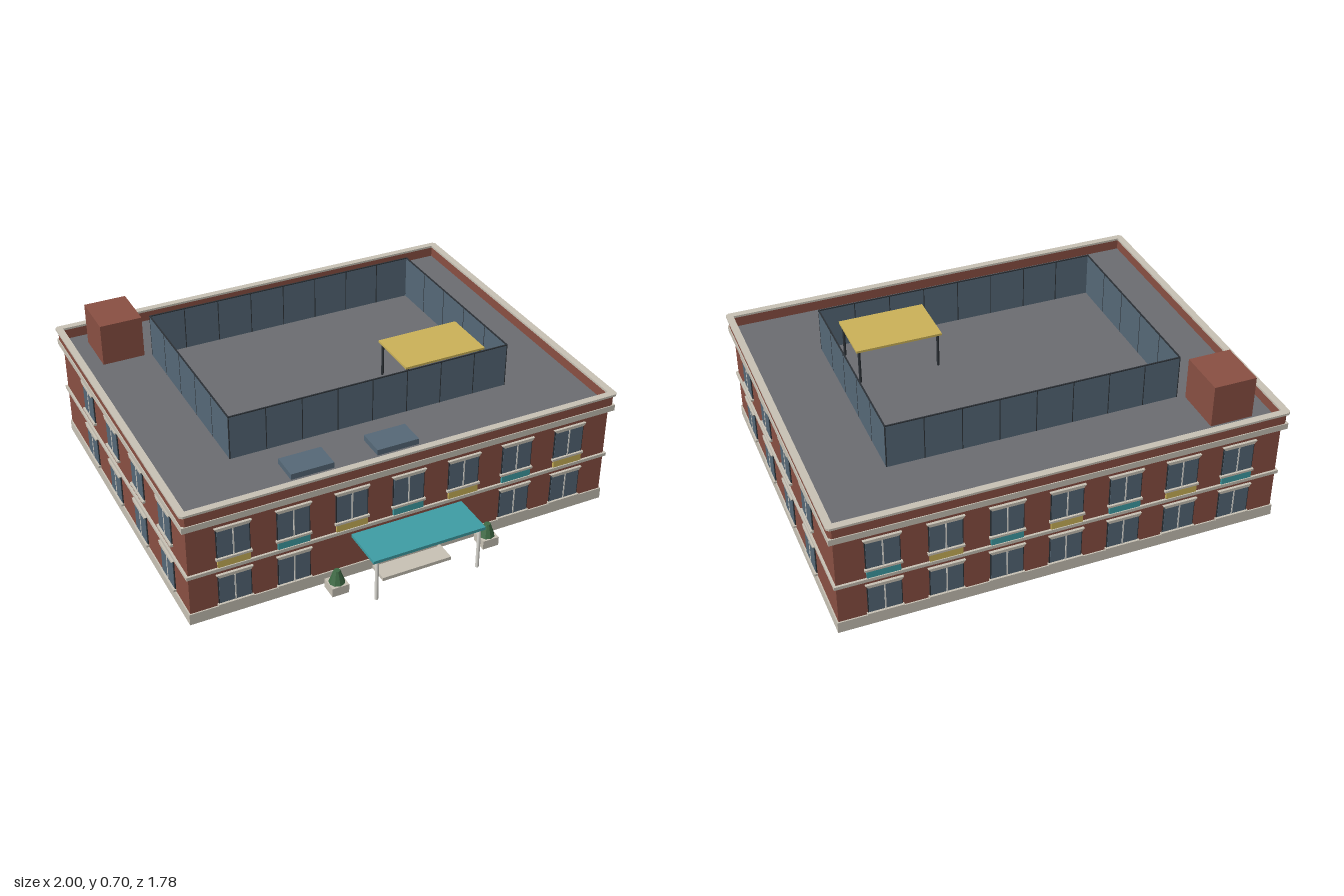
import * as THREE from 'three';

const mat = (color, extra = {}) => new THREE.MeshStandardMaterial({ color, ...extra });
const M = {
  brick: mat(0x8a5043), stone: mat(0xc9c3b6), glass: mat(0x566978), teal: mat(0x3f9ea5),
  yellow: mat(0xccb359), roof: mat(0x6c6d72), dark: mat(0x2c3136), white: mat(0xdedcd5),
  green: mat(0x3f6b45, { flatShading: true }),
};

// Main block: half width, wall planes and storey heights
const HW = 0.975, FRONT = 0.69, BACK = -0.87, ZC = (FRONT + BACK) / 2, DEPTH = FRONT - BACK;
const ROOF = 0.5;

// Box given by its minimum and maximum corners
function box(parent, name, material, x0, x1, y0, y1, z0, z1) {
  const m = new THREE.Mesh(new THREE.BoxGeometry(x1 - x0, y1 - y0, z1 - z0), material);
  m.position.set((x0 + x1) / 2, (y0 + y1) / 2, (z0 + z1) / 2);
  m.name = name;
  parent.add(m);
  return m;
}

// Solid layer around the building, standing out from the wall by e
const layer = (g, name, material, e, y0, y1) =>
  box(g, name, material, -HW - e, HW + e, y0, y1, BACK - e, FRONT + e);

// Rectangular ring with slightly cut corners, for parapet and coping
function ring(g, name, material, e, thick, y0, y1) {
  const w = HW + e, d = DEPTH / 2 + e, c = 0.012;
  const s = new THREE.Shape([
    [-w + c, -d], [w - c, -d], [w, -d + c], [w, d - c],
    [w - c, d], [-w + c, d], [-w, d - c], [-w, -d + c],
  ].map(p => new THREE.Vector2(...p)));
  const a = w - thick, b = d - thick;
  s.holes.push(new THREE.Path([[-a, -b], [-a, b], [a, b], [a, -b]].map(p => new THREE.Vector2(...p))));
  const m = new THREE.Mesh(new THREE.ExtrudeGeometry(s, { depth: y1 - y0, bevelEnabled: false }), material);
  m.rotation.x = -Math.PI / 2;
  m.position.set(0, y0, ZC);
  m.name = name;
  g.add(m);
}

// Window on a wall facing +z, with its sill at y = 0
function makeWindow(panel) {
  const g = new THREE.Group(), w = 0.073, h = 0.145;
  g.name = 'window';
  box(g, 'windowFrame', M.dark, -w, w, 0, h, -0.01, 0.004);
  for (const s of [-1, 1]) {
    box(g, 'windowPane', M.glass, s * 0.036 - 0.033, s * 0.036 + 0.033, 0.004, h - 0.004, 0, 0.006);
  }
  box(g, 'mullion', M.white, -0.003, 0.003, 0, h, 0, 0.008);
  box(g, 'sill', M.stone, -0.078, 0.078, -0.008, 0.002, -0.005, 0.014);
  // Lintel, wider at the top
  const s = new THREE.Shape([[-0.068, 0], [0.068, 0], [0.08, 0.014], [-0.08, 0.014]].map(p => new THREE.Vector2(...p)));
  const lintel = new THREE.Mesh(new THREE.ExtrudeGeometry(s, { depth: 0.015, bevelEnabled: false }), M.stone);
  lintel.position.set(0, h - 0.01, -0.003);
  lintel.name = 'lintel';
  g.add(lintel);
  if (panel) box(g, 'colourPanel', panel, -0.07, 0.07, -0.043, -0.002, -0.005, 0.01);
  return g;
}

function addWindow(g, x, y, z, angle, panel) {
  const w = makeWindow(panel);
  w.position.set(x, y, z);
  w.rotation.y = angle;
  g.add(w);
}

function post(g, name, material, x, z, y0, y1, r) {
  const m = new THREE.Mesh(new THREE.CylinderGeometry(r, r, y1 - y0, 10), material);
  m.position.set(x, (y0 + y1) / 2, z);
  m.name = name;
  g.add(m);
}

export function createModel() {
  const model = new THREE.Group();
  model.name = 'schoolBuilding';

  // Walls and stone courses
  layer(model, 'plinth', M.stone, 0.006, 0, 0.052);
  layer(model, 'brickWalls', M.brick, 0, 0.052, 0.475);
  layer(model, 'floorBand', M.stone, 0.01, 0.23, 0.245);
  layer(model, 'cornice', M.stone, 0.02, 0.47, ROOF - 0.002);
  box(model, 'roofDeck', M.roof, -0.97, 0.97, 0.49, ROOF, BACK + 0.005, FRONT - 0.005);
  ring(model, 'parapet', M.brick, 0.016, 0.022, ROOF - 0.002, 0.546);
  ring(model, 'coping', M.stone, 0.025, 0.031, 0.546, 0.556);

  // Windows on the front, back and both sides
  const LOW = 0.062, HIGH = 0.292;
  for (let i = -3; i <= 3; i++) {
    const x = i * 0.26, odd = Math.abs(i) % 2 === 1;
    addWindow(model, x, HIGH, FRONT, 0, odd ? M.yellow : M.teal);
    addWindow(model, x, HIGH, BACK, Math.PI, odd ? M.teal : M.yellow);
    addWindow(model, x, LOW, BACK, Math.PI);
    if (Math.abs(i) > 1) addWindow(model, x, LOW, FRONT, 0);
  }
  for (let i = 0; i < 4; i++) {
    for (const s of [-1, 1]) {
      for (const y of [LOW, HIGH]) addWindow(model, s * HW, y, 0.46 - i * 0.322, s * Math.PI / 2);
    }
  }

  // Entrance
  const entrance = new THREE.Group();
  entrance.name = 'entrance';
  box(entrance, 'portal', M.stone, -0.145, 0.145, 0, 0.2, FRONT - 0.01, 0.703);
  box(entrance, 'door', M.teal, -0.098, 0.098, 0.035, 0.194, FRONT, 0.708);
  box(entrance, 'step', M.stone, -0.162, 0.162, 0, 0.016, FRONT, 0.79);
  box(entrance, 'canopy', M.teal, -0.26, 0.26, 0.196, 0.21, FRONT, 0.89);
  for (const s of [-1, 1]) {
    post(entrance, 'canopyPost', M.white, s * 0.238, 0.877, 0, 0.197, 0.008);
    // Planter and shrub
    const x = s * 0.357;
    box(entrance, 'planter', M.stone, x - 0.038, x + 0.038, 0, 0.042, 0.715, 0.791);
    const shrub = new THREE.Mesh(new THREE.CylinderGeometry(0.014, 0.035, 0.06, 9), M.green);
    shrub.position.set(x, 0.072, 0.753);
    shrub.name = 'shrub';
    entrance.add(shrub);
  }
  model.add(entrance);

  // Rooftop court fence
  const fence = new THREE.Group();
  fence.name = 'rooftopFence';
  const fx = 0.65, f0 = -0.55, f1 = 0.362, top = 0.7, t = 0.002;
  for (const z of [f0, f1]) {
    box(fence, 'fencePanel', M.glass, -fx, fx, ROOF, top, z - t, z + t);
    box(fence, 'fenceRail', M.dark, -fx, fx, top, top + 0.004, z - 0.003, z + 0.003);
    for (let i = 0; i <= 8; i++) post(fence, 'fencePost', M.dark, -fx + i * fx / 4, z, ROOF, top + 0.004, 0.003);
  }
  for (const x of [-fx, fx]) {
    box(fence, 'fencePanel', M.glass, x - t, x + t, ROOF, top, f0, f1);
    box(fence, 'fenceRail', M.dark, x - 0.003, x + 0.003, top, top + 0.004, f0, f1);
    for (let i = 1; i < 5; i++) post(fence, 'fencePost', M.dark, x, f0 + i * (f1 - f0) / 5, ROOF, top + 0.004, 0.003);
  }
  model.add(fence);

  // Sun shade inside the court
  const shade = new THREE.Group();
  shade.name = 'sunShade';
  box(shade, 'shadeRoof', M.yellow, 0.195, 0.582, 0.66, 0.67, 0.037, 0.293);
  for (const x of [0.21, 0.567]) {
    for (const z of [0.052, 0.278]) post(shade, 'shadePost', M.dark, x, z, ROOF, 0.662, 0.006);
  }
  model.add(shade);

  // Stair house and skylights
  box(model, 'stairHouse', M.brick, -0.878, -0.684, ROOF - 0.005, 0.695, -0.792, -0.567);
  for (const x of [-0.392, -0.004]) {
    box(model, 'skylight', M.glass, x - 0.096, x + 0.096, ROOF - 0.005, 0.526, 0.48, 0.604);
  }
  return model;
}
